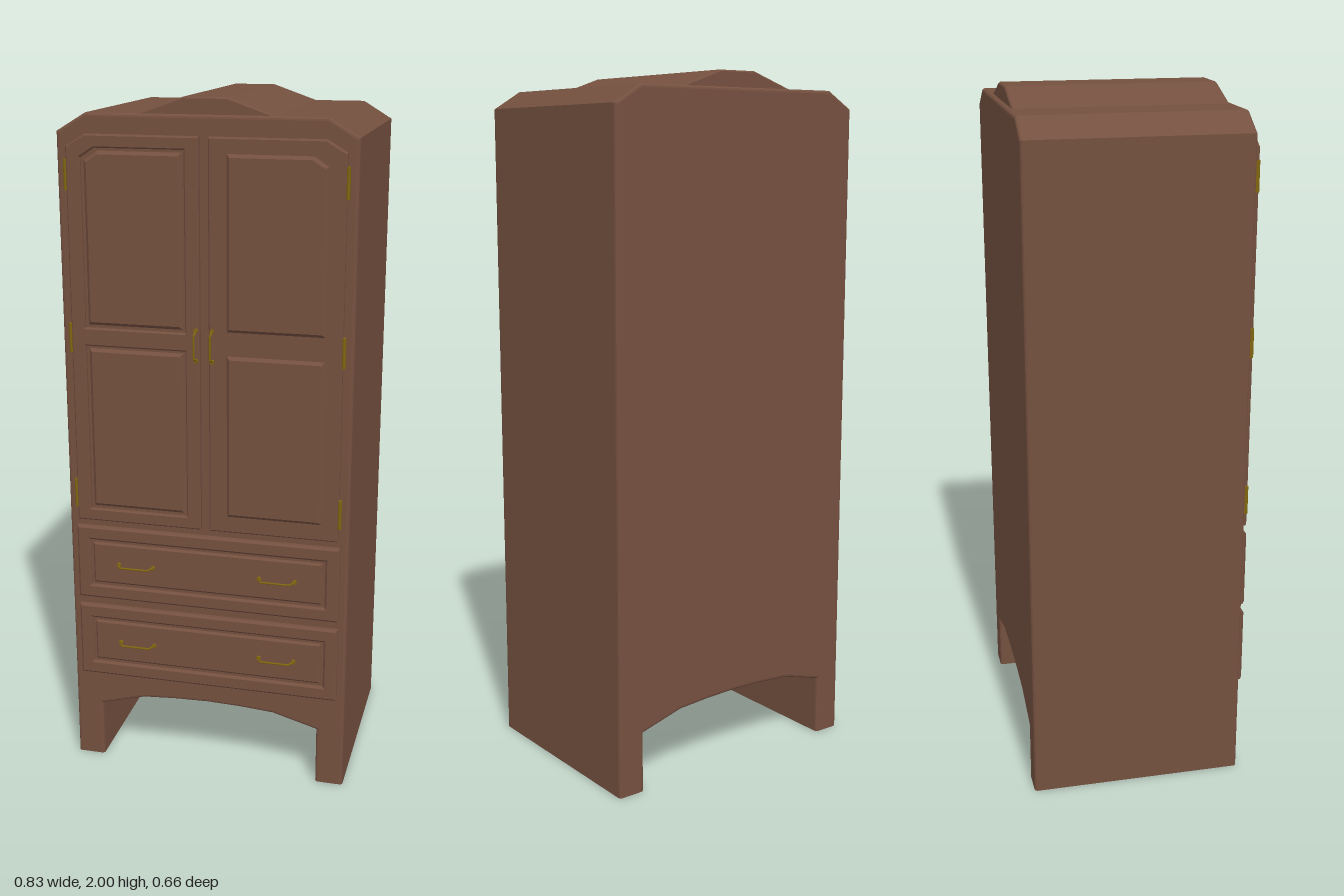
import * as THREE from 'three';

const wood = new THREE.MeshStandardMaterial({ color: 0x74503f });
const brass = new THREE.MeshStandardMaterial({ color: 0x80660f });

const toPoints = (pts) => pts.map(([x, y]) => new THREE.Vector2(x, y));

// Extrusion from z0 to z1 whose bevel stays inside the outline
function slab(name, pts, z0, z1, bevel, holes = [], segments = 1) {
  const shape = new THREE.Shape(toPoints(pts));
  holes.forEach((h) => shape.holes.push(new THREE.Path(toPoints(h))));
  const geo = new THREE.ExtrudeGeometry(shape, {
    depth: z1 - z0 - 2 * bevel, bevelEnabled: bevel > 0, bevelThickness: bevel,
    bevelSize: bevel, bevelOffset: -bevel, bevelSegments: segments,
  });
  geo.translate(0, 0, z0 + bevel);
  const mesh = new THREE.Mesh(geo, wood);
  mesh.name = name;
  return mesh;
}

// Rectangle, with an optional cut at its top outer corner (x0 side)
function outline(x0, x1, y0, y1, cutX = 0, cutY = 0) {
  if (!cutX) return [[x0, y0], [x1, y0], [x1, y1], [x0, y1]];
  return [[x0, y0], [x1, y0], [x1, y1], [x0 + cutX, y1], [x0, y1 - cutY]];
}

// Bent-rod pull with a small foot at each end, running along x
function pull(name, half) {
  const g = new THREE.Group();
  g.name = name;
  const path = new THREE.CurvePath();
  const pts = [[-half, 0], [-half + 0.01, 0.024], [half - 0.01, 0.024], [half, 0]]
    .map(([x, z]) => new THREE.Vector3(x, 0, z));
  for (let i = 0; i < 3; i++) path.add(new THREE.LineCurve3(pts[i], pts[i + 1]));
  const rod = new THREE.Mesh(new THREE.TubeGeometry(path, 36, 0.003, 8), brass);
  rod.name = 'pullRod';
  g.add(rod);
  for (const s of [-1, 1]) {
    const foot = new THREE.Mesh(new THREE.CylinderGeometry(0.006, 0.007, 0.006, 12), brass);
    foot.name = 'pullFoot';
    foot.rotation.x = Math.PI / 2;
    foot.position.set(s * half, 0, 0.002);
    g.add(foot);
  }
  return g;
}

function createCabinet() {
  const g = new THREE.Group();
  g.name = 'cabinet';
  // Carcass with stepped shoulders and an arched opening between the feet
  const half = [[0, 0.222], [0.1, 0.219], [0.2, 0.212], [0.333, 0.175], [0.333, 0],
    [0.416, 0], [0.416, 1.905], [0.333, 1.955]];
  const mirrored = half.slice(1).reverse().map(([x, y]) => [-x, y]);
  const body = slab('carcass', [...half, ...mirrored], -0.331, 0.289, 0.009, [], 3);
  // Keep the soles of the feet flat on the ground
  const pos = body.geometry.attributes.position;
  for (let i = 0; i < pos.count; i++) if (pos.getY(i) < 0.03) pos.setY(i, 0);
  body.geometry.computeVertexNormals();
  g.add(body);
  // Raised crown along the roof
  g.add(slab('crown', [[-0.2, 1.945], [0.2, 1.945], [0.19, 1.955], [0.06, 2], [-0.06, 2], [-0.19, 1.955]],
    -0.317, 0.279, 0.004));
  return g;
}

function createDoor(s) {
  const g = new THREE.Group();
  g.name = s > 0 ? 'leftDoor' : 'rightDoor';
  const mirror = (pts) => pts.map(([x, y]) => [-s * x, y]);
  // Coordinates below describe the door on the -x side
  const openings = [
    [-0.345, -0.054, 0.824, 1.314, 0, 0],
    [-0.345, -0.054, 1.366, 1.864, 0.04, 0.026],
  ];
  g.add(slab('doorBack', mirror(outline(-0.386, -0.013, 0.787, 1.9, 0.055, 0.033)), 0.28, 0.294, 0));
  g.add(slab('doorFrame', mirror(outline(-0.386, -0.013, 0.787, 1.9, 0.055, 0.033)), 0.286, 0.305, 0.004,
    openings.map((o) => mirror(outline(...o)))));
  for (const [x0, x1, y0, y1, cx, cy] of openings) {
    const d = 0.008;
    g.add(slab('doorPanel', mirror(outline(x0 + d, x1 - d, y0 + d, y1 - d, cx, cy)), 0.284, 0.303, 0.009));
  }
  const handle = pull('doorHandle', 0.043);
  handle.rotation.z = Math.PI / 2;
  handle.position.set(s * 0.023, 1.333, 0.305);
  g.add(handle);
  // Hinge barrels with a leaf behind each
  for (const y of [0.868, 1.335, 1.79]) {
    const barrel = new THREE.Mesh(new THREE.CylinderGeometry(0.005, 0.005, 0.084, 12), brass);
    barrel.name = 'hingeBarrel';
    barrel.position.set(s * 0.389, y, 0.3);
    const leaf = new THREE.Mesh(new THREE.BoxGeometry(0.008, 0.084, 0.014), brass);
    leaf.name = 'hingeLeaf';
    leaf.position.set(s * 0.389, y, 0.293);
    g.add(barrel, leaf);
  }
  return g;
}

function createDrawer(name, y0, y1) {
  const g = new THREE.Group();
  g.name = name;
  const w = 0.392;
  g.add(slab('drawerBack', outline(-w, w, y0, y1), 0.28, 0.296, 0));
  // Outer moulding, then the raised field inside a narrow groove
  g.add(slab('drawerFrame', outline(-w, w, y0, y1), 0.286, 0.305, 0.006,
    [outline(-0.352, 0.352, y0 + 0.042, y1 - 0.042)]));
  g.add(slab('drawerField', outline(-0.344, 0.344, y0 + 0.05, y1 - 0.05), 0.286, 0.303, 0.006));
  for (const s of [-1, 1]) {
    const handle = pull('drawerHandle', 0.052);
    handle.position.set(s * 0.212, (y0 + y1) / 2, 0.304);
    g.add(handle);
  }
  return g;
}

export function createModel() {
  const model = new THREE.Group();
  model.name = 'wardrobe';
  model.add(createCabinet(), createDoor(1), createDoor(-1));
  model.add(createDrawer('upperDrawer', 0.538, 0.766), createDrawer('lowerDrawer', 0.285, 0.513));
  return model;
}
